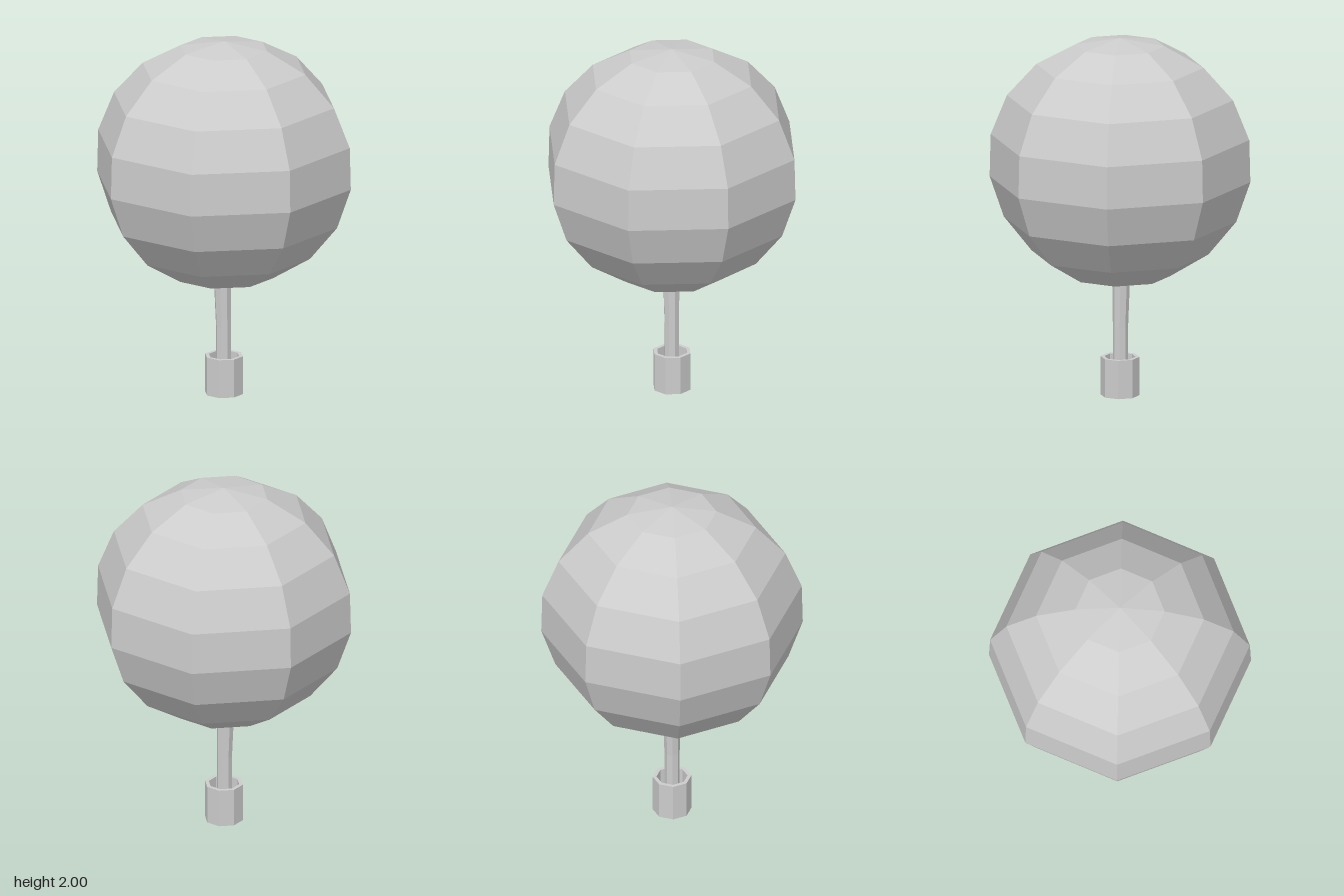
import * as THREE from 'three';

export function createModel() {
  const model = new THREE.Group();
  const grey = new THREE.MeshStandardMaterial({ color: 0xcccccc, flatShading: true, side: THREE.DoubleSide });
  grey.name = 'light grey';

  const add = (name, geometry, y = 0) => {
    const mesh = new THREE.Mesh(geometry, grey);
    mesh.name = name;
    mesh.position.y = y;
    model.add(mesh);
  };

  // faceted canopy, slightly squashed, open at the bottom
  const canopy = new THREE.SphereGeometry(0.722, 8, 8, 0, Math.PI * 2, 0, Math.PI * 7 / 8);
  canopy.scale(1, 0.69 / 0.722, 1);
  add('canopy', canopy, 1.31);

  // slender post that widens and leans a little above its middle
  const bottom = 0.05, top = 0.71;
  const post = new THREE.CylinderGeometry(0.042, 0.042, top - bottom, 8, 2);
  post.translate(0, (top + bottom) / 2, 0);
  const p = post.attributes.position;
  for (let i = 0; i < p.count; i++) {
    const t = Math.max(0, (p.getY(i) - 0.38) / (top - 0.38));
    const s = 1 + 0.16 * t;
    p.setX(i, p.getX(i) * s - 0.003 - 0.008 * t);
    p.setZ(i, p.getZ(i) * s);
  }
  add('post', post);

  // hollow eight-sided cup with a thick rim
  const profile = [[0, 0], [0.106, 0], [0.106, 0.215], [0.085, 0.215], [0.085, 0.05], [0, 0.05]];
  add('cup', new THREE.LatheGeometry(profile.map(([r, y]) => new THREE.Vector2(r, y)), 8));

  return model;
}
